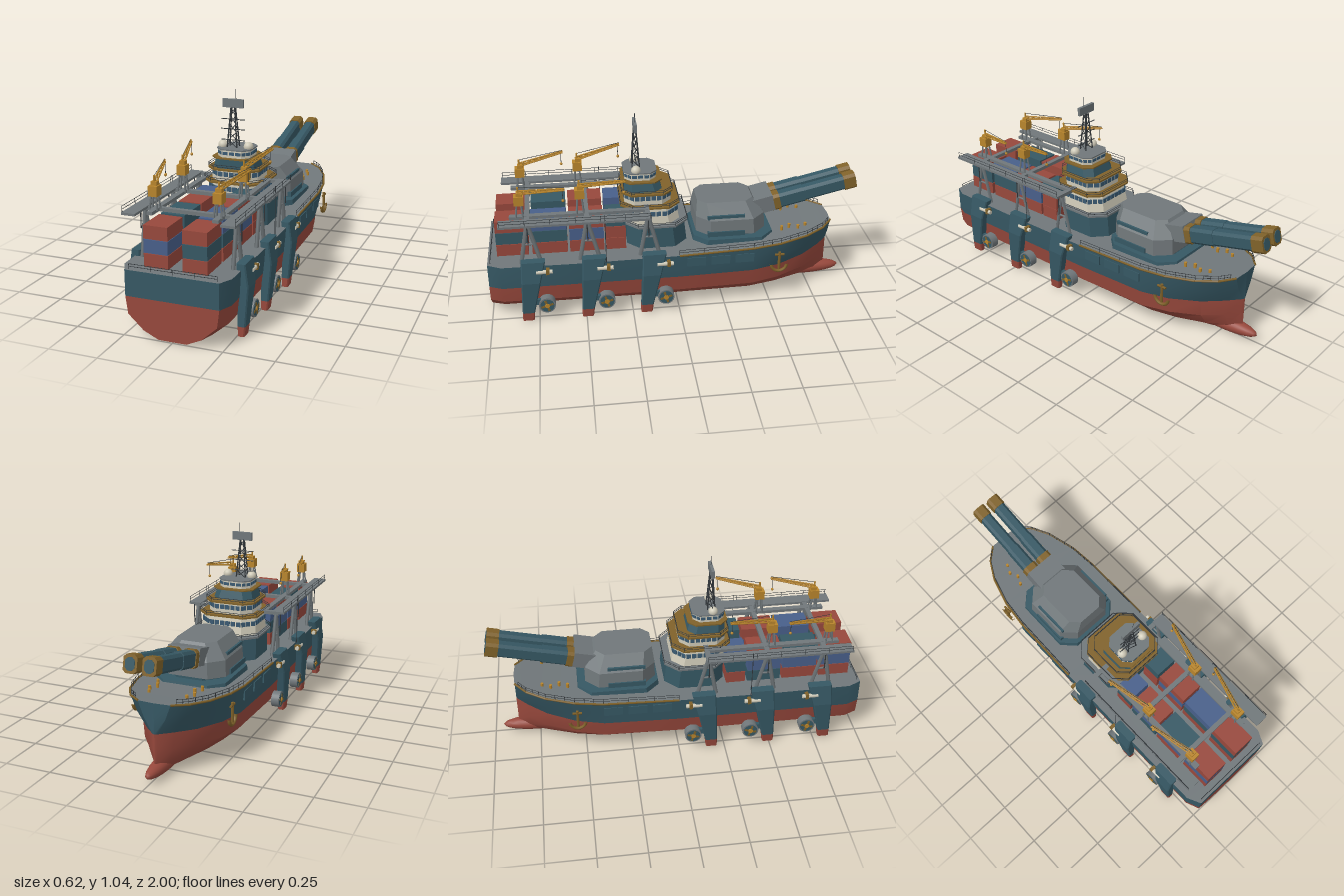
import * as THREE from 'three';
import { toCreasedNormals } from 'three/addons/utils/BufferGeometryUtils.js';

const M = {};
for (const [name, color] of Object.entries({
  hullRed: 0x97483c, steelTeal: 0x365864, deckGrey: 0x70777a, trimGold: 0x80622a, craneYellow: 0xb8852c,
  cabinCream: 0xcfcab8, cargoBlue: 0x485f8a, darkMetal: 0x33383c, windowBlue: 0x3a5a72,
})) M[name] = new THREE.MeshStandardMaterial({ color, name });

const V = (x, y, z) => new THREE.Vector3(x, y, z);
function add(parent, name, geo, mat, x = 0, y = 0, z = 0) {
  const m = new THREE.Mesh(geo, mat);
  m.name = name;
  m.position.set(x, y, z);
  parent.add(m);
  return m;
}
function group(parent, name) {
  const g = new THREE.Group();
  g.name = name;
  parent.add(g);
  return g;
}
const box = (p, name, mat, w, h, d, x, y, z) => add(p, name, new THREE.BoxGeometry(w, h, d), mat, x, y, z);
function rod(p, name, mat, a, b, r, sides = 5) {
  const d = b.clone().sub(a);
  const m = add(p, name, new THREE.CylinderGeometry(r, r, d.length(), sides), mat);
  m.position.copy(a).addScaledVector(d, 0.5);
  m.quaternion.setFromUnitVectors(V(0, 1, 0), d.normalize());
  return m;
}
function railing(p, pts, h = 0.03) {
  pts.forEach((a, i) => {
    rod(p, 'railPost', M.darkMetal, a, V(a.x, a.y + h, a.z), 0.0015, 4);
    if (i) for (const k of [0.5, 1])
      rod(p, 'railBar', M.darkMetal, V(pts[i - 1].x, pts[i - 1].y + h * k, pts[i - 1].z), V(a.x, a.y + h * k, a.z), 0.0015, 4);
  });
}
function fromTriangles(tris) {
  const g = new THREE.BufferGeometry().setFromPoints(tris);
  g.computeVertexNormals();
  return g;
}
// Chamfered rectangle at height y, and a flat-sided loft through such rings
const ring = (x0, x1, z0, z1, y, c) => [[x1, z0 + c], [x1, z1 - c], [x1 - c, z1], [x0 + c, z1],
  [x0, z1 - c], [x0, z0 + c], [x0 + c, z0], [x1 - c, z0]].map(([x, z]) => V(x, y, z));
function loft(...rings) {
  const t = [], n = rings[0].length, last = rings[rings.length - 1];
  for (let k = 0; k + 1 < rings.length; k++) for (let i = 0; i < n; i++) {
    const j = (i + 1) % n, a = rings[k][i], b = rings[k][j], c = rings[k + 1][j], d = rings[k + 1][i];
    t.push(a, d, c, a, c, b);
  }
  for (let i = 1; i + 1 < n; i++) t.push(rings[0][0], rings[0][i], rings[0][i + 1], last[0], last[i + 1], last[i]);
  return fromTriangles(t);
}
function skin(rows) {
  const t = [];
  for (let i = 0; i + 1 < rows.length; i++) for (let j = 0; j + 1 < rows[i].length; j++) {
    const a = rows[i][j], b = rows[i][j + 1], c = rows[i + 1][j + 1], d = rows[i + 1][j];
    t.push(a, b, d, b, c, d);
  }
  return toCreasedNormals(fromTriangles(t), 0.5);
}

// Stations: z, deck half width, waterline half width, keel, waterline, deck heights
const STATIONS = [[1, .235, .235, .005, .2, .33], [.93, .27, .265, 0, .2, .33], [.5, .275, .265, 0, .2, .33],
  [0, .275, .265, 0, .2, .335], [-.4, .27, .25, 0, .2, .347], [-.55, .255, .215, .01, .205, .357],
  [-.7, .212, .145, .02, .215, .37], [-.8, .155, .07, .03, .225, .38], [-.86, .085, .012, .05, .23, .387], [-.866, 0, 0, .06, .23, .387]];

function buildHull(root) {
  const g = group(root, 'hull');
  const both = (h) => [...h, ...h.slice(0, -1).reverse().map((p) => V(-p.x, p.y, p.z))];
  const bottom = STATIONS.map(([z, , w, k, wl]) => both([[1, 1], [.95, .55], [.62, .18], [.3, 0], [0, 0]]
    .map(([u, v]) => V(w * u, k + (wl - k) * v, z))));
  const upper = (s) => STATIONS.map(([z, wd, w, , wl, d]) => {
    const p = [V(s * wd, d, z), V(s * (wd * .6 + w * .4), (d + wl) / 2, z), V(s * w, wl, z)];
    return s > 0 ? p : p.reverse();
  });
  add(g, 'lowerHull', skin(bottom), M.hullRed);
  for (const s of [1, -1]) add(g, 'upperHull', skin(upper(s)), M.steelTeal);
  add(g, 'deck', skin(STATIONS.map(([z, w, , , , d]) => [V(-w, d, z), V(w, d, z)])), M.deckGrey);
  const flat = (pts) => new THREE.ShapeGeometry(new THREE.Shape(pts.map((p) => new THREE.Vector2(p.x, p.y))));
  add(g, 'lowerTransom', flat(bottom[0]), M.hullRed, 0, 0, 1);
  add(g, 'upperTransom', flat([...upper(1)[0], ...upper(-1)[0]]), M.steelTeal, 0, 0, 1);
  add(g, 'bowBulb', new THREE.SphereGeometry(1, 20, 14).scale(.045, .04, .21), M.hullRed, 0, .045, -.742);
  for (const s of [1, -1]) {
    // Gold edge trim, bow rail and raised side panels
    const edge = STATIONS.slice(3, 9).map(([z, w, , , , d]) => V(s * w, d, z));
    for (let i = 1; i < edge.length; i++) rod(g, 'edgeTrim', M.trimGold, edge[i - 1], edge[i], .006);
    const rail = [];
    for (let i = 1; i < edge.length; i++) for (let k = 0; k < 3; k++) rail.push(edge[i - 1].clone().lerp(edge[i], k / 3));
    railing(g, rail.map((p) => V(p.x * .97, p.y, p.z)), .028);
    for (let i = 0; i < 3; i++) {
      const z = -.09 - i * .13;
      box(g, 'sidePanel', M.steelTeal, .009, .05, .1, s * (.273 - i * .003), .293, z);
    }
    // Anchor
    const a = group(g, 'anchor'), x = s * .262;
    rod(a, 'anchorShank', M.trimGold, V(x, .205, -.54), V(x, .31, -.54), .008);
    rod(a, 'anchorStock', M.trimGold, V(x, .295, -.515), V(x, .295, -.565), .007);
    const arm = add(a, 'anchorArms', new THREE.TorusGeometry(.042, .009, 6, 12, Math.PI), M.trimGold, x, .235, -.54);
    arm.rotation.set(Math.PI, Math.PI / 2, 0, 'YXZ');
    for (let i = 0; i < 4; i++)
      add(g, 'bollard', new THREE.CylinderGeometry(.008, .008, .025, 8), M.craneYellow, s * (.12 - (i % 2) * .02), .375, -.58 - i * .045);
  }
  railing(g, [-.22, -.11, 0, .11, .22].map((x) => V(x, .33, .985)), .025);
}

function buildTurret(root) {
  const g = group(root, 'gunTurret');
  add(g, 'turretBase', loft(ring(-.195, .195, -.535, -.09, .32, .07), ring(-.19, .19, -.525, -.095, .368, .07)), M.steelTeal);
  add(g, 'turretRing', loft(ring(-.15, .15, -.47, -.14, .36, .08), ring(-.15, .15, -.47, -.14, .39, .08)), M.steelTeal);
  add(g, 'turretHouse', loft(ring(-.175, .175, -.485, -.11, .385, .07), ring(-.17, .17, -.48, -.11, .47, .07),
    ring(-.11, .11, -.42, -.12, .55, .045)), M.deckGrey);
  box(g, 'barrelMount', M.deckGrey, .175, .09, .13, 0, .5, -.475).rotation.x = .235;
  for (const s of [1, -1]) {
    box(g, 'turretSidePlate', M.steelTeal, .02, .028, .2, s * .171, .395, -.265);
    box(g, 'turretVisor', M.steelTeal, .012, .02, .2, s * .157, .485, -.265);
    const b = group(g, 'gunBarrel');
    b.position.set(s * .048, .51, -.55);
    b.rotation.x = .235;
    const part = (name, mat, w, h, y0, y1) => add(b, name,
      loft(ring(-w, w, -h, h, y0, .014), ring(-w, w, -h, h, y1, .014)).rotateX(-Math.PI / 2), mat);
    part('barrelTube', M.steelTeal, .031, .04, -.03, .44);
    part('barrelCollar', M.trimGold, .038, .047, -.02, .025);
    part('barrelStep', M.steelTeal, .034, .043, .025, .16);
    part('barrelMuzzle', M.trimGold, .035, .044, .385, .45);
    part('barrelBore', M.steelTeal, .024, .031, .445, .453);
  }
}

function buildBridge(root) {
  const g = group(root, 'bridge');
  const block = (name, mat, y0, y1, x, z0, z1, c, x2 = x, z2 = z0) =>
    add(g, name, loft(ring(-x, x, z0, z1, y0, c), ring(-x2, x2, z2, z1, y1, c)), mat);
  const windows = (x, z0, z1, y, c, h) => {
    const r = ring(-x, x, z0, z1, y, c);
    r.forEach((a, i) => {
      const b = r[(i + 1) % 8], d = b.clone().sub(a), n = Math.max(2, Math.round(d.length() / .032));
      for (let k = 0; k < n; k++) {
        const p = a.clone().lerp(b, (k + .5) / n);
        box(g, 'window', M.windowBlue, d.length() / n * .78, h, .006, p.x, p.y, p.z).rotation.y = Math.atan2(-d.z, d.x);
      }
    });
  };
  block('lowerHouse', M.steelTeal, .325, .46, .172, -.06, .262, .07, .168, -.045);
  block('lowerWalkway', M.deckGrey, .458, .468, .185, -.06, .275, .07);
  block('mainHouse', M.cabinCream, .468, .562, .158, -.02, .262, .06, .148, 0);
  windows(.153, -.01, .263, .527, .06, .024);
  block('mainWalkway', M.trimGold, .562, .57, .167, -.02, .295, .06);
  block('navigationRoom', M.cabinCream, .57, .628, .125, .025, .27, .05);
  windows(.125, .025, .27, .607, .05, .024);
  block('navigationWalkway', M.trimGold, .628, .637, .142, .015, .287, .05);
  block('upperHouse', M.steelTeal, .637, .688, .113, .07, .27, .04, .098, .085);
  block('upperWalkway', M.trimGold, .688, .695, .115, .07, .282, .04);
  block('lookoutRoom', M.cabinCream, .695, .733, .088, .1, .265, .035);
  windows(.088, .1, .265, .717, .035, .016);
  block('roof', M.deckGrey, .733, .74, .092, .095, .27, .035);
  for (const [x, z0, z1, y, c] of [[.165, -.018, .293, .57, .06], [.14, .017, .285, .637, .05], [.185, -.06, .275, .468, .07]]) {
    const r = ring(-x, x, z0, z1, y, c);
    railing(g, [...r, r[0]], .02);
  }
  for (const s of [1, -1]) add(g, 'radome', new THREE.SphereGeometry(.025, 16, 12), M.cabinCream, s * .07, .748, .205);
  // Lattice mast
  const m = group(g, 'mast'), at = (i, t) => {
    const sx = i === 0 || i === 3 ? 1 : -1, sz = i < 2 ? 1 : -1;
    return V(-.015 + sx * (.027 - .017 * t), .738 + .21 * t, .2 + sz * (.02 - .014 * t));
  };
  for (let i = 0; i < 4; i++) {
    rod(m, 'mastLeg', M.darkMetal, at(i, 0), at(i, 1), .0035);
    for (let k = 0; k < 5; k++) rod(m, 'mastBrace', M.darkMetal, at(i, k / 5), at((i + 1) % 4, (k + 1) / 5), .002, 4);
  }
  for (const y of [.775, .832, .884]) rod(m, 'mastYard', M.darkMetal, V(-.082, y, .2), V(.048, y, .2), .0025);
  box(m, 'radarPanel', M.deckGrey, .112, .044, .016, -.016, .967, .2);
  rod(m, 'antenna', M.darkMetal, V(0, .95, .2), V(0, 1.04, .2), .0015, 4);
}

function buildCargo(root) {
  const g = group(root, 'cargo'), C = { r: M.hullRed, t: M.steelTeal, b: M.cargoBlue };
  // Each row: z range, then bottom-to-top colours for the -x and +x stacks
  for (const [z0, z1, ...stacks] of [[.785, .95, 'rbr', 'rtr'], [.58, .765, 'rbt', 'rtb'], [.388, .568, 'tbr', 'rbr'], [.272, .375, 'rtb', 'rrt']])
    stacks.forEach((colours, i) => [...colours].forEach((c, k) =>
      box(g, 'container', C[c], .122, .066, z1 - z0, (i * 2 - 1) * .0975, .369 + k * .0685, (z0 + z1) / 2)));
}

function buildGantry(root) {
  const g = group(root, 'gantry');
  for (const z of [.16, .475, .78]) box(g, 'crossBeam', M.deckGrey, .5, .018, .025, 0, .565, z);
  for (const s of [1, -1]) {
    box(g, 'walkway', M.deckGrey, .07, .012, .78, s * .247, .57, .535);
    box(g, 'innerRail', M.deckGrey, .03, .016, .72, s * .165, .567, .51);
    railing(g, [0, 1, 2, 3, 4, 5, 6].map((i) => V(s * .28, .575, .15 + i * .128)), .03);
    for (const z of [.16, .475, .78]) {
      for (const dz of [-.06, .045]) rod(g, 'gantryLeg', M.deckGrey, V(s * .232, .325, z + dz), V(s * .232, .565, z), .011, 4);
      rod(g, 'legBrace', M.deckGrey, V(s * .232, .44, z - .035), V(s * .232, .44, z + .025), .006);
      rod(g, 'hangingBar', M.darkMetal, V(s * .257, .455, z), V(s * .257, .565, z), .003);
    }
    rod(g, 'stayPole', M.darkMetal, V(s * .28, .33, .385), V(s * .28, .61, .385), .002, 4);
    // Cranes with lattice jibs swung outboard
    for (const [z, y] of [[.505, .02], [.815, 0]]) {
      const c = group(g, 'crane'), x = s * .162;
      for (const dx of [-.02, .02]) for (const dz of [-.018, .018])
        rod(c, 'craneLeg', M.deckGrey, V(x + dx, .572, z + dz), V(x + dx * .6, .645 + y, z + dz * .6), .005);
      box(c, 'craneCab', M.craneYellow, .045, .05, .05, x, .664 + y, z);
      box(c, 'craneHead', M.craneYellow, .03, .02, .03, x, .698 + y, z - .005);
      const a = V(x, .7 + y, z), b = V(s * .223, .738 + y * 1.4, z - .235);
      const chords = [[-.01, 0], [.01, 0], [0, .016]].map(([dx, dy]) => [a, b].map((p, e) => V(p.x + dx * (1 - e * .5), p.y + dy * (1 - e * .5), p.z)));
      chords.forEach((ch, i) => {
        const next = chords[(i + 1) % 3];
        rod(c, 'jibChord', M.craneYellow, ch[0], ch[1], .004);
        for (let k = 0; k < 7; k++) rod(c, 'jibBrace', M.craneYellow, ch[0].clone().lerp(ch[1], k / 7), next[0].clone().lerp(next[1], (k + 1) / 7), .002, 4);
      });
      rod(c, 'stayCable', M.darkMetal, V(x, .735 + y, z), V(b.x, b.y + .012, b.z), .0015, 4);
      rod(c, 'craneMast', M.craneYellow, V(x, .7 + y, z), V(x, .737 + y, z), .005);
      rod(c, 'hookCable', M.darkMetal, V(b.x - s * .008, b.y, b.z + .01), V(b.x - s * .008, b.y - .065, b.z + .01), .0015, 4);
      add(c, 'hookBlock', new THREE.SphereGeometry(.008, 8, 6), M.craneYellow, b.x - s * .008, b.y - .065, b.z + .01);
    }
  }
}

function buildLegs(root) {
  const g = group(root, 'sideLegs');
  for (const s of [1, -1]) for (const z of [0, .315, .63]) {
    const r = (x0, x1, z0, z1, y) => ring(Math.min(s * x0, s * x1), Math.max(s * x0, s * x1), z + z0, z + z1, y, .006);
    add(g, 'leg', loft(r(.255, .295, .142, .207, .055), r(.255, .308, .1, .2, .245), r(.245, .29, .07, .195, .36)), M.steelTeal);
    add(g, 'legFoot', loft(r(.257, .29, .148, .208, .006), r(.255, .295, .142, .207, .055)), M.hullRed);
    // Ducted thruster
    const t = group(g, 'thruster');
    t.position.set(s * .278, .1, z + .075);
    add(t, 'thrusterDuct', new THREE.CylinderGeometry(.044, .044, .044, 24).rotateZ(Math.PI / 2), M.deckGrey);
    add(t, 'thrusterFace', new THREE.CylinderGeometry(.037, .037, .047, 24).rotateZ(Math.PI / 2), M.steelTeal);
    for (const a of [0, Math.PI / 2]) box(t, 'thrusterBlade', M.trimGold, .051, .066, .012, 0, 0, 0).rotation.x = a + .3;
    add(t, 'thrusterHub', new THREE.CylinderGeometry(.013, .013, .056, 12).rotateZ(Math.PI / 2), M.craneYellow);
    box(t, 'thrusterArm', M.steelTeal, .02, .03, .1, 0, .015, .055);
    // Deck-edge launcher
    rod(g, 'launcherTube', M.cabinCream, V(s * .293, .305, z + .035), V(s * .293, .305, z + .12), .011, 10);
    rod(g, 'launcherBarrel', M.cabinCream, V(s * .293, .305, z + .12), V(s * .293, .305, z + .15), .005, 8);
    box(g, 'launcherMount', M.trimGold, .03, .028, .018, s * .289, .305, z + .06);
  }
}

export function createModel() {
  const root = new THREE.Group();
  root.name = 'armedCargoShip';
  for (const build of [buildHull, buildTurret, buildBridge, buildCargo, buildGantry, buildLegs]) build(root);
  return root;
}
